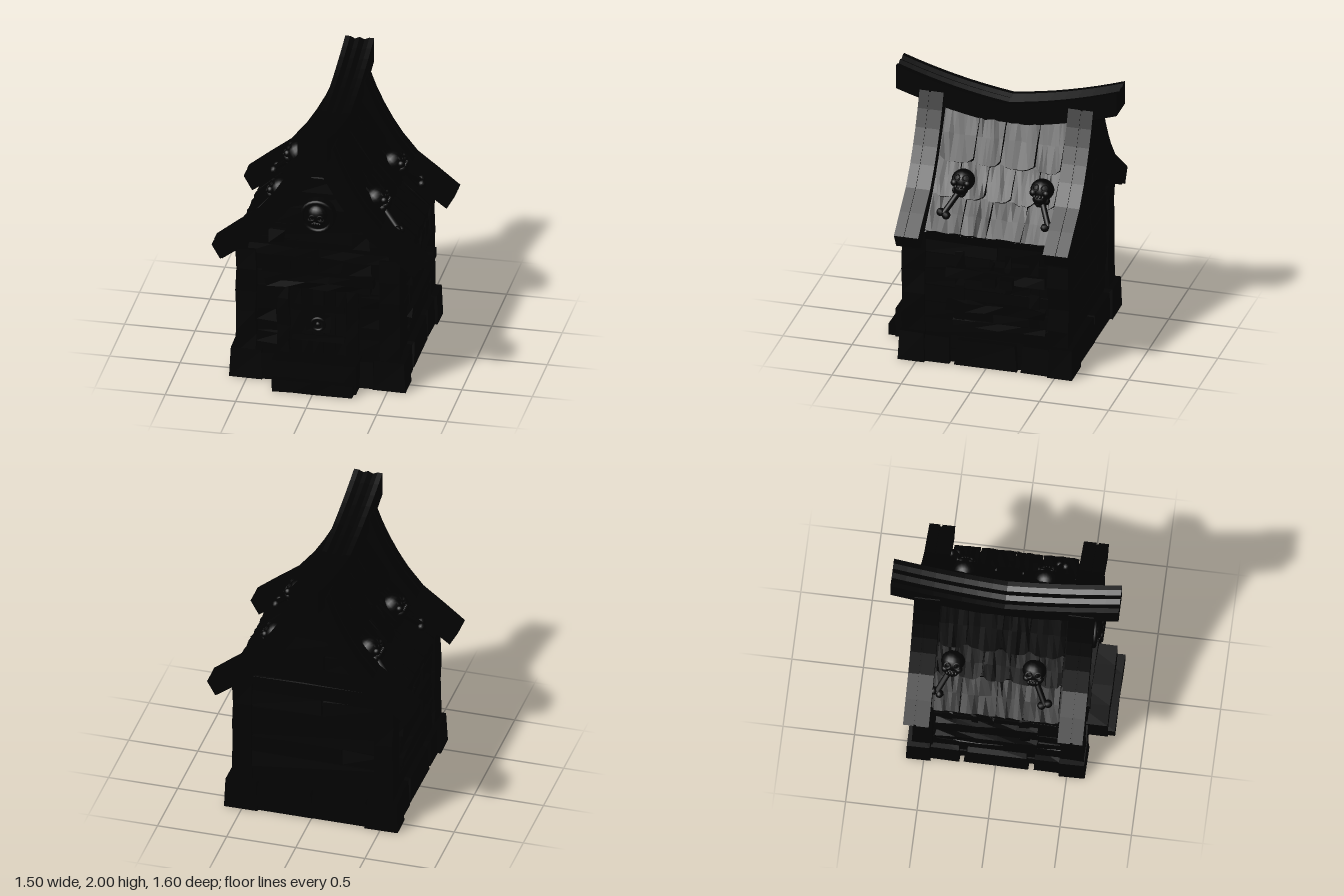
import * as THREE from 'three';

const wood = new THREE.MeshStandardMaterial({ color: 0x020202, flatShading: true });
const bone = new THREE.MeshStandardMaterial({ color: 0x020202 });

// repeatable noise in -1..1
let seed = 7;
const rnd = () => ((seed = (seed * 16807) % 2147483647) / 2147483647) * 2 - 1;

export function createModel() {
  const root = new THREE.Group();
  const part = (name, parent = root) => {
    const g = new THREE.Group();
    g.name = name;
    parent.add(g);
    return g;
  };
  const mesh = (name, geo, mat, parent, x = 0, y = 0, z = 0) => {
    const m = new THREE.Mesh(geo, mat);
    m.name = name;
    m.position.set(x, y, z);
    parent.add(m);
    return m;
  };

  // hand-hewn box from min/max ranges; shared corners are shifted together
  const block = (name, parent, [x0, x1], [y0, y1], [z0, z1], j = 0.006, segs = [1, 1, 1]) => {
    const geo = new THREE.BoxGeometry(x1 - x0, y1 - y0, z1 - z0, ...segs);
    const p = geo.attributes.position, shift = {};
    for (let i = 0; i < p.count; i++) {
      const key = [p.getX(i), p.getY(i), p.getZ(i)].map(v => Math.round(v * 1000)).join();
      const d = (shift[key] ||= [rnd() * j, rnd() * j, rnd() * j]);
      p.setXYZ(i, p.getX(i) + d[0], p.getY(i) + d[1], p.getZ(i) + d[2]);
    }
    geo.computeVertexNormals();
    return mesh(name, geo, wood, parent, (x0 + x1) / 2, (y0 + y1) / 2, (z0 + z1) / 2);
  };
  const extrude = (name, pts, z0, z1, parent) => {
    const geo = new THREE.ExtrudeGeometry(new THREE.Shape(pts.map(p => new THREE.Vector2(...p))),
      { depth: z1 - z0, bevelEnabled: false });
    return mesh(name, geo, wood, parent, 0, 0, z0);
  };
  const flip = pts => pts.map(([x, y]) => [-x, y]).reverse();

  // roof curves, right half from ridge to eave
  const outer = [[0.11, 1.84], [0.155, 1.72], [0.21, 1.6], [0.27, 1.49], [0.34, 1.38], [0.45, 1.245], [0.6, 1.13], [0.75, 1.01]];
  const inner = [[0, 1.70], [0.06, 1.58], [0.14, 1.44], [0.23, 1.31], [0.36, 1.16], [0.52, 1.03], [0.69, 0.905]];
  const deck = [[0.06, 1.71], [0.155, 1.535], [0.25, 1.38], [0.32, 1.28], [0.4, 1.18], [0.59, 0.99]];

  // solid house core
  const walls = part('walls');
  const coreHalf = [...deck.slice(0, 5).map(([x, y]) => [x, y - 0.03]), [0.55, 0.985], [0.55, 0.02]];
  extrude('houseCore', [...coreHalf, ...flip(coreHalf)], -0.545, 0.55, walls);

  // horizontal siding on the four sides, a few boards split
  const halfWidth = y => {
    if (y < 1) return 0.5;
    const i = inner.findIndex(p => p[1] <= y);
    const [a, b] = [inner[i - 1], inner[i]];
    return a[0] + (b[0] - a[0]) * (a[1] - y) / (a[1] - b[1]) + 0.03;
  };
  const runs = (w, split) => {
    const c = rnd() * w * 0.5;
    return split ? [[-w, c - 0.004], [c + 0.004, w]] : [[-w, w]];
  };
  for (let i = 0; i < 11; i++) {
    const y = 0.2 + i * 0.125;
    const w = Math.min(0.5, halfWidth(y + 0.06));
    for (const r of runs(w, i % 3 === 2)) {
      block('backPlank', walls, r, [y + 0.004, y + 0.12], [-0.565, -0.53], 0.007);
      if (i > 3) block('frontPlank', walls, r, [y + 0.004, y + 0.12], [0.53, 0.565], 0.007);
    }
    if (i < 6) for (const s of [-1, 1]) for (const r of runs(0.46, i % 2))
      block('sidePlank', walls, [s * 0.55 - 0.013, s * 0.55 + 0.013], [y + 0.004, y + 0.12], r, 0.006);
  }
  // front rubble stones beside the door and bricks above it
  for (const s of [-1, 1]) {
    for (const [y, w] of [[0.26, 0.16], [0.44, 0.13], [0.6, 0.16]])
      block('frontStone', walls, [s * 0.365 - w / 2, s * 0.365 + w / 2], [y, y + 0.09], [0.54, 0.58], 0.01);
    block('gableBrick', walls, [s * 0.3 - 0.06, s * 0.3 + 0.06], [1.05, 1.16], [0.54, 0.585], 0.008);
  }
  for (const x of [-0.28, -0.075, 0.085, 0.29])
    block('upperBrick', walls, [x - 0.08, x + 0.08], [0.85, 0.94], [0.54, 0.58], 0.008);
  block('frontBeam', walls, [-0.5, 0.5], [0.96, 1.03], [0.54, 0.59], 0.008, [6, 1, 1]);

  // corner posts
  const frame = part('cornerPosts');
  for (const s of [-1, 1]) for (const [z0, z1] of [[0.45, 0.615], [-0.585, -0.44]])
    block('cornerPost', frame, s > 0 ? [0.44, 0.58] : [-0.58, -0.44], [0.18, 1.0], [z0, z1], 0.007, [1, 5, 1]);

  // stone footing
  const base = part('foundation');
  block('floorSlab', base, [-0.56, 0.56], [0, 0.1], [-0.58, 0.6], 0);
  const stone = (name, xs, h, zs) => {
    const m = block(name, base, xs, [0, h], zs, 0.004);
    const p = m.geometry.attributes.position;
    for (let i = 0; i < p.count; i++) {
      if (p.getY(i) > 0) p.setXYZ(i, p.getX(i) * 0.9, p.getY(i), p.getZ(i) * 0.92);
      else p.setY(i, -h / 2);
    }
    m.geometry.computeVertexNormals();
  };
  for (const s of [-1, 1]) {
    const side = (a, b) => (s > 0 ? [a, b] : [-b, -a]);
    stone('cornerStone', side(0.39, 0.63), 0.22, [0.44, 0.63]);
    stone('cornerStone', side(0.39, 0.63), 0.22, [-0.625, -0.45]);
    for (const [a, b, h] of [[0.265, 0.45, 0.2], [-0.22, 0.23, 0.19], [-0.46, -0.25, 0.2]])
      stone('sideStone', side(0.5, 0.605), h, [a, b]);
    stone('frontStone', side(0.28, 0.4), 0.2, [0.5, 0.615]);
    stone('backStone', side(-0.01, 0.41), 0.2, [-0.61, -0.5]);
  }

  // door, frame and steps
  const door = part('door');
  block('upperStep', door, [-0.3, 0.3], [0.003, 0.22], [0.5, 0.745], 0.003, [4, 1, 1]);
  block('lowerStep', door, [-0.285, 0.285], [0.003, 0.09], [0.6, 0.797], 0.003, [4, 1, 1]);
  for (let i = 0; i < 5; i++)
    block('doorPlank', door, [-0.2 + i * 0.08 + 0.003, -0.123 + i * 0.08], [0.2, 0.72], [0.55, 0.58], 0.004, [1, 3, 1]);
  for (const y of [0.34, 0.57]) block('doorBrace', door, [-0.185, 0.185], [y - 0.025, y + 0.025], [0.565, 0.592], 0.005);
  block('lockPlate', door, [-0.09, 0.09], [0.39, 0.52], [0.565, 0.595], 0.004);
  mesh('doorRing', new THREE.TorusGeometry(0.045, 0.012, 8, 20), bone, door, 0, 0.455, 0.6);
  mesh('doorKnob', new THREE.SphereGeometry(0.02, 10, 8), bone, door, 0, 0.455, 0.597);
  for (const s of [-1, 1])
    block('doorJamb', door, [s * 0.245 - 0.04, s * 0.245 + 0.04], [0.2, 0.75], [0.54, 0.605], 0.007, [1, 5, 1]);
  block('lintel', door, [-0.37, 0.37], [0.73, 0.79], [0.54, 0.62], 0.006, [5, 1, 1]);
  block('lintelCap', door, [-0.4, 0.4], [0.79, 0.845], [0.54, 0.634], 0.006, [5, 1, 1]);

  // boarded windows
  for (const s of [-1, 1]) {
    const win = part('boardedWindow');
    const xs = (a, b) => (s > 0 ? [a, b] : [-b, -a]);
    block('upperBoard', win, xs(0.56, 0.605), [0.67, 0.745], [-0.42, 0.29], 0.006, [1, 1, 5]);
    block('lowerBoard', win, xs(0.56, 0.605), [0.42, 0.49], [-0.42, 0.29], 0.006, [1, 1, 5]);
    block('sill', win, xs(0.55, 0.58), [0.29, 0.34], [-0.42, 0.25], 0.005, [1, 1, 4]);
    for (const z of [-0.34, 0.2])
      block('windowPost', win, xs(0.545, 0.574), [0.34, 0.86], [z - 0.035, z + 0.035], 0.005, [1, 4, 1]);
    block('crossSlat', win, xs(0.55, 0.578), [0.58, 0.87], [-0.17, -0.13], 0.005, [1, 3, 1]);
    block('crossSlat', win, xs(0.55, 0.578), [0.6, 0.82], [-0.05, -0.015], 0.005, [1, 3, 1]);
  }
  for (const z of [-0.16, -0.035]) block('wallPeg', root, [0.56, 0.672], [0.66, 0.73], [z - 0.045, z + 0.045], 0.004);

  // roof deck
  const roof = part('roof');
  const under = deck.map(([x, y]) => [x - 0.03, y - 0.075]).reverse();
  for (const s of [-1, 1]) {
    const pts = [...deck, ...under];
    extrude('roofDeck', s > 0 ? pts : flip(pts), -0.46, 0.46, roof);
    // three rows of broad shingles with rounded lower edges
    for (let r = 0; r < 3; r++) {
      const [a, b] = [deck[[0, 2, 4][r]], deck[[2, 4, 5][r]]];
      const len = Math.hypot(b[0] - a[0], b[1] - a[1]) + 0.02;
      const cuts = r === 1 ? [-0.44, -0.3, -0.12, 0.07, 0.27, 0.44] : [-0.44, -0.25, 0, 0.19, 0.44];
      for (let c = 0; c < cuts.length - 1; c++) {
        const w = cuts[c + 1] - cuts[c] - 0.008;
        const m = block('shingle', roof, [-len / 2, len / 2], [-0.018, 0.018], [-w / 2, w / 2], 0.005, [2, 1, 6]);
        const p = m.geometry.attributes.position;
        for (let i = 0; i < p.count; i++)
          if (p.getX(i) > len / 4) p.setX(i, p.getX(i) - 0.04 * (2 * p.getZ(i) / w) ** 4 * (r < 2));
        m.geometry.computeVertexNormals();
        m.position.set(s * (a[0] + b[0]) / 2, (a[1] + b[1]) / 2 + 0.012, (cuts[c] + cuts[c + 1]) / 2);
        m.rotation.set(0, s < 0 ? Math.PI : 0, Math.atan2(b[1] - a[1], b[0] - a[0]) + 0.05, 'YXZ');
      }
    }
  }

  // paired gable boards
  const board = [...outer, ...inner.slice(1).reverse(), inner[0], ...flip(inner.slice(1).reverse()), ...flip(outer)];
  for (const [z0, z1] of [[0.45, 0.54], [0.555, 0.625], [-0.54, -0.45], [-0.63, -0.555]])
    extrude('gableBoard', board, z0, z1, roof);
  for (const z of [0.48, -0.61]) { // filler closing the gap between paired boards
    const fill = extrude('gableFiller', board, 0, 0.13, roof);
    fill.scale.set(0.985, 0.995, 1);
    fill.position.z = z;
  }

  // sagging ridge beam
  const ridge = new THREE.BoxGeometry(0.205, 0.175, 1.596, 6, 1, 16);
  const rp = ridge.attributes.position;
  for (let i = 0; i < rp.count; i++) {
    const z = rp.getZ(i), t = Math.abs(z) / 0.8, top = rp.getY(i) > 0;
    const groove = top && Math.abs(Math.abs(rp.getX(i)) - 0.034) < 0.01 ? 0.016 : 0;
    rp.setY(i, 1.81 + 0.1 * t + 0.09 * t * t - groove - (top ? 0 : 0.165 + 0.01 * t));
  }
  ridge.computeVertexNormals();
  mesh('ridgeBeam', ridge, wood, roof);

  // skull ornament facing +z
  const skull = (name, r) => {
    const g = part(name);
    const ball = (n, k, x, y, z, sx = 1, sy = 1, sz = 1) =>
      mesh(n, new THREE.SphereGeometry(r * k, 16, 12), bone, g, r * x, r * y, r * z).scale.set(sx, sy, sz);
    ball('cranium', 1, 0, 0.15, 0, 1, 0.95, 0.95);
    ball('jaw', 0.6, 0, -0.75, 0.2, 1, 0.75, 0.9);
    for (const s of [-1, 1]) {
      ball('cheek', 0.32, s * 0.55, -0.35, 0.6);
      mesh('eyeSocket', new THREE.TorusGeometry(r * 0.25, r * 0.09, 6, 14), bone, g, s * r * 0.37, 0, r * 0.86);
    }
    for (let i = -1.5; i < 2; i++) ball('tooth', 0.12, i * 0.24, -0.72, 0.7, 1, 1.4, 1);
    return g;
  };
  for (const s of [-1, 1]) for (const [f, z] of [[1, 0.24], [-1, -0.33]]) {
    const g = skull('roofSkull', 0.085);
    g.position.set(s * 0.347, 1.29, z);
    g.rotation.set(-0.8, s * Math.PI / 2, 0, 'YXZ');
    // bone lying down the slope
    const b = part('longBone', g);
    b.position.set(-s * f * 0.055, -0.16, -0.008);
    b.rotation.set(0, 0, -s * f * 0.42);
    mesh('shaft', new THREE.CylinderGeometry(0.021, 0.021, 0.19, 10), bone, b);
    for (const e of [-1, 1]) for (const k of [-1, 1])
      mesh('knuckle', new THREE.SphereGeometry(0.03, 10, 8), bone, b, k * 0.024, e * 0.095, 0);
  }
  // gable medallion
  const disc = part('gableMedallion');
  mesh('disc', new THREE.CylinderGeometry(0.115, 0.125, 0.06, 20), wood, disc, 0, 1.305, 0.595).rotation.x = Math.PI / 2;
  mesh('rim', new THREE.TorusGeometry(0.11, 0.016, 8, 24), bone, disc, 0, 1.305, 0.625);
  const face = skull('gableSkull', 0.075);
  face.position.set(0, 1.315, 0.625);
  face.scale.z = 0.75;

  return root;
}
